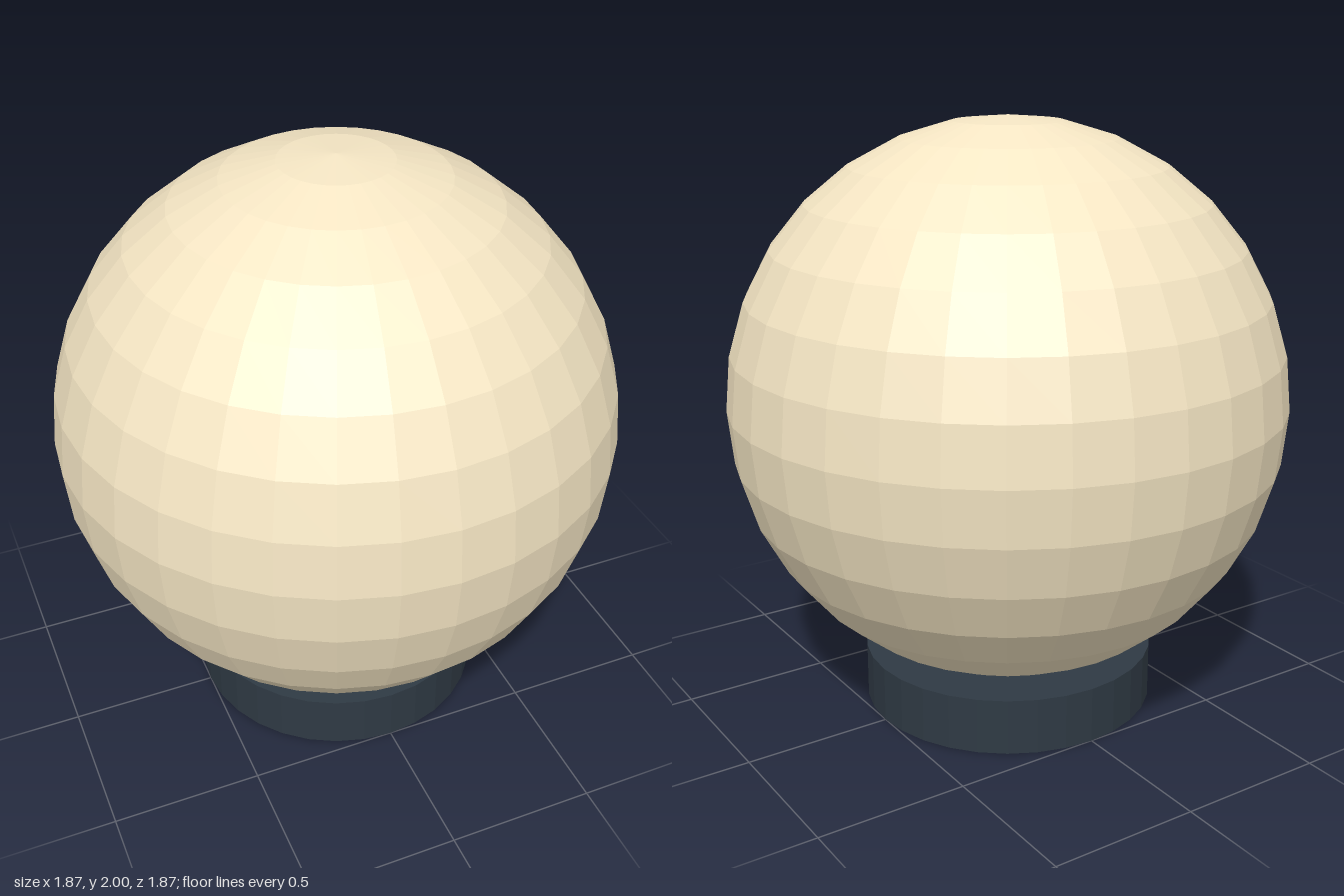
import * as THREE from 'three';

export function createModel() {
  const group = new THREE.Group();

  const addPart = (name, geometry, color, y) => {
    const material = new THREE.MeshStandardMaterial({ color, flatShading: true });
    const mesh = new THREE.Mesh(geometry, material);
    mesh.name = name;
    mesh.position.y = y;
    group.add(mesh);
  };

  // Faceted globe, its lower cap sunk into the base
  const radius = 0.933;
  addPart('globe', new THREE.SphereGeometry(radius, 32, 16), 0xf5e6c4, 2 - radius);

  // Short round base
  const baseHeight = 0.19;
  addPart('base', new THREE.CylinderGeometry(0.5, 0.5, baseHeight, 32), 0x2f3a44, baseHeight / 2);

  return group;
}
